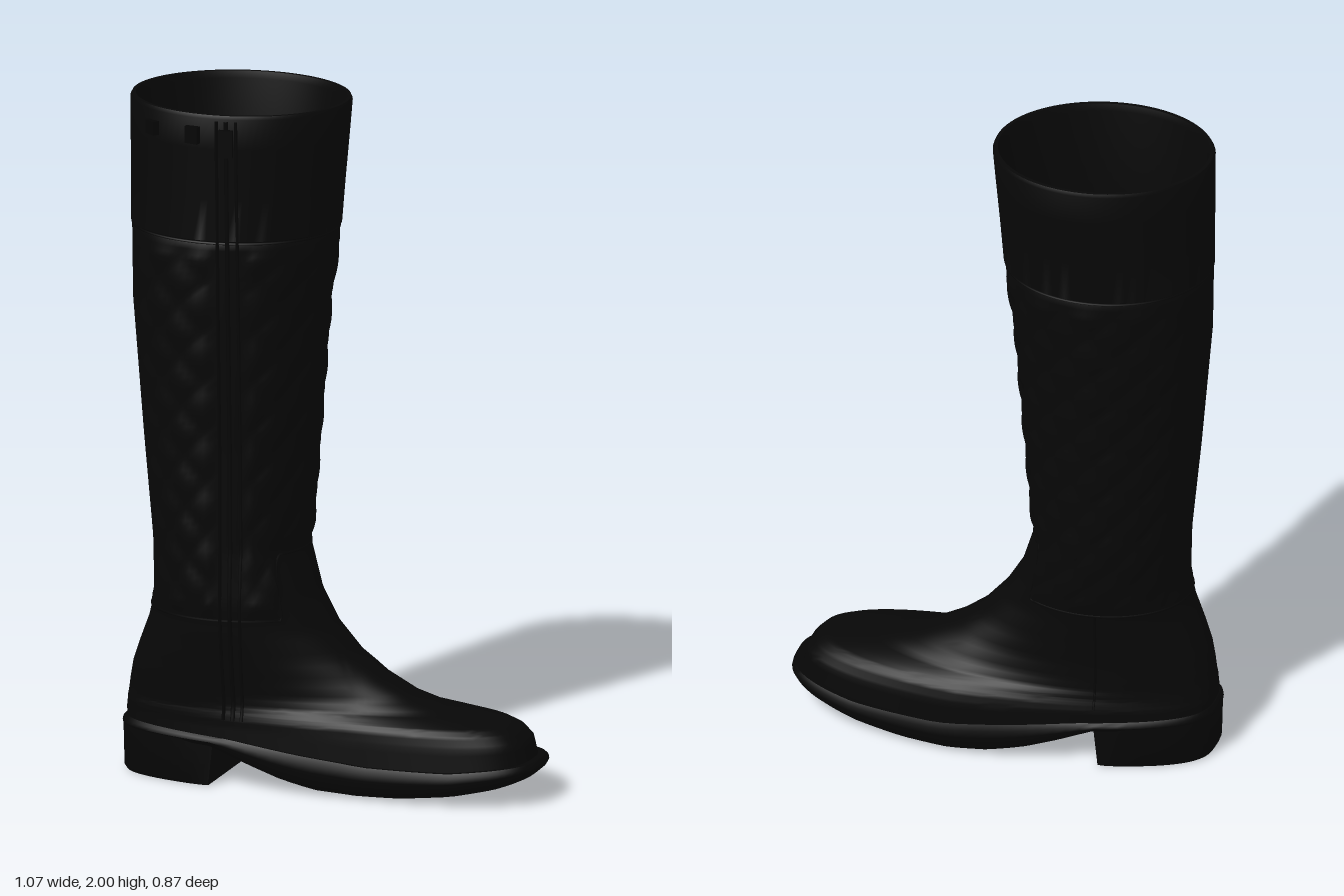
import * as THREE from 'three';
import { toCreasedNormals } from 'three/addons/utils/BufferGeometryUtils.js';

const SEG = 96, ANGLE = THREE.MathUtils.degToRad(40);
const CA = Math.cos(ANGLE), SA = Math.sin(ANGLE);
const { lerp, clamp, smoothstep } = THREE.MathUtils;

// Horizontal slices of the upper: y, back, front, rear half width, front half width, end roundness, sideways shift
const SLICES = [
  [0.10, -0.60, 0.595, 0.185, 0.208, 0.66, 0],
  [0.17, -0.60, 0.58, 0.185, 0.20, 0.66, 0],
  [0.20, -0.598, 0.555, 0.185, 0.19, 0.68, 0.003],
  [0.215, -0.597, 0.525, 0.185, 0.175, 0.7, 0.005],
  [0.225, -0.596, 0.46, 0.185, 0.165, 0.75, 0.005],
  [0.24, -0.594, 0.355, 0.185, 0.15, 0.8, 0.007],
  [0.27, -0.59, 0.255, 0.185, 0.145, 0.85, 0.01],
  [0.32, -0.58, 0.16, 0.185, 0.15, 0.9, 0.016],
  [0.38, -0.56, 0.08, 0.187, 0.16, 0.95, 0.02],
  [0.46, -0.53, 0.012, 0.19, 0.17, 1, 0.024],
  [0.55, -0.51, -0.04, 0.19, 0.185, 1, 0.024],
  [0.70, -0.515, -0.085, 0.198, 0.198, 1, 0.014],
  [1.00, -0.545, -0.065, 0.209, 0.209, 1, 0.006],
  [1.40, -0.578, -0.036, 0.225, 0.225, 1, 0.002],
  [1.63, -0.582, -0.004, 0.23, 0.23, 1, 0],
  [2.00, -0.588, 0.032, 0.238, 0.238, 1, 0],
];
const SOLE = [0, -0.612, 0.624, 0.2, 0.229, 0.66, 0];

// Piecewise interpolation of table rows keyed by their first entry
function sample(rows, k) {
  if (k <= rows[0][0]) return rows[0];
  for (let i = 1; i < rows.length; i++) {
    if (k <= rows[i][0]) {
      const f = (k - rows[i - 1][0]) / (rows[i][0] - rows[i - 1][0]);
      return rows[i].map((v, n) => lerp(rows[i - 1][n], v, f));
    }
  }
  return rows[rows.length - 1];
}
const soleTop = u => sample([[-0.6, 0.16], [-0.25, 0.145], [-0.05, 0.12], [0.15, 0.1], [0.4, 0.1], [0.64, 0.125]], u)[1];
const soleBottom = u => sample([[-0.3, 0.11], [-0.2, 0.07], [-0.1, 0.035], [0, 0.013], [0.12, 0.006], [0.25, 0.01], [0.4, 0.026], [0.52, 0.05], [0.64, 0.085]], u)[1];

const middle = u => 0.01 - 0.1 * (Math.min(u, 0.1) + 0.3);
const world = (u, y, v) => new THREE.Vector3(u * CA - v * SA, y, u * SA + v * CA);

// Plan position on a slice, along the foot (u) and across it (v)
function plan(slice, t, off = 0) {
  const [, u0, u1, wb, wf, p, shift] = slice;
  const half = (u1 - u0) / 2, c = Math.cos(t), s = Math.sin(t);
  const u = (u0 + u1) / 2 + (half + off) * c;
  const w = lerp(wb, wf, (c + 1) / 2) + off;
  return [u, middle(u) + shift + w * Math.sign(s) * Math.abs(s) ** p];
}
function upperPoint(t, y, off = 0) {
  const [u, v] = plan(sample(SLICES, y), t, off);
  const fit = y < 0.2 ? 0.2 - (0.2 - y) * (0.21 - soleTop(u)) / 0.1 : y;
  return world(u, fit, v);
}
const angleAt = (u, y) => {
  const [, u0, u1] = sample(SLICES, y);
  return Math.acos((2 * u - u0 - u1) / (u1 - u0));
};

// Skin a list of closed rings; each ring is a function of the angle
function loft(rings, crease = 0.7) {
  const pos = [], idx = [];
  rings.forEach((ring, i) => {
    for (let j = 0; j < SEG; j++) {
      pos.push(...ring(j / SEG * Math.PI * 2).toArray());
      if (i === rings.length - 1) continue;
      const a = i * SEG + j, b = i * SEG + (j + 1) % SEG;
      idx.push(a, a + SEG, b, b, a + SEG, b + SEG);
    }
  });
  const g = new THREE.BufferGeometry();
  g.setAttribute('position', new THREE.Float32BufferAttribute(pos, 3));
  g.setIndex(idx);
  return toCreasedNormals(g, crease);
}

// Lower edge of the quilted shaft: high over the instep, low around the heel
const hem = t => lerp(0.5, 0.685, smoothstep(Math.cos(t), 0.66, 0.8));

// Shaft layer with padded diamonds, left plain at the back panel and along the zip
function quilt(t, y) {
  const layer = smoothstep(y, hem(t) - 0.005, hem(t) + 0.02);
  const edge = smoothstep(y, hem(t) + 0.01, hem(t) + 0.05) * (1 - smoothstep(y, 1.57, 1.61));
  const back = smoothstep(Math.abs(t - Math.PI), 0.5, 0.65);
  const zip = smoothstep(Math.abs(t - angleAt(-0.235, y)), 0.16, 0.24);
  const k = y * Math.PI / 0.15;
  return 0.004 * layer + 0.009 * edge * back * zip * Math.sqrt(Math.abs(Math.sin(6 * t + k) * Math.sin(6 * t - k)));
}

export function createModel() {
  const boot = new THREE.Group();
  boot.name = 'boot';
  const material = (name, color) => Object.assign(new THREE.MeshStandardMaterial({ color }), { name });
  const leather = material('black leather', 0x070707);
  const rubber = material('black rubber', 0x060606);
  const trim = material('dark trim', 0x050505);
  const add = (name, geometry, mat) => {
    const mesh = new THREE.Mesh(geometry, mat);
    mesh.name = name;
    boot.add(mesh);
    return mesh;
  };

  // Upper: foot, quilted shaft, then over the rim and down the lining
  const rings = [];
  const ring = (y, off) => rings.push(t => upperPoint(t, y, off));
  for (let i = 0; i < 9; i++) {
    for (let k = 0; k < 4; k++) ring(lerp(SLICES[i][0], SLICES[i + 1][0], k / 4), 0);
  }
  for (let y = 0.46; y < 1.615; y += 0.0165) rings.push(t => upperPoint(t, y, quilt(t, y)));
  for (const [y, off] of [[1.622, 0], [1.628, 0.007], [1.75, 0.005], [1.9, 0.004], [1.99, 0.003], [2, -0.002], [2, -0.012], [1.98, -0.018]]) ring(y, off);
  for (const y of [1.63, 1.4, 1, 0.7, 0.55, 0.46, 0.38, 0.32, 0.27, 0.24]) ring(y, -0.022);
  rings.push(() => world(-0.2, 0.24, 0));
  add('upper', loft(rings), leather);

  // Sole with toe spring, raised arch and a protruding welt
  const soleRing = (off, mix) => t => {
    const [u, v] = plan(SOLE, t, off);
    return world(u, lerp(soleBottom(u), soleTop(u), mix), v);
  };
  const soleCap = (mix, f) => t => {
    const [u, v] = plan(SOLE, t, -0.04);
    return world(u, lerp(soleBottom(u), soleTop(u), mix), middle(u) + (v - middle(u)) * f);
  };
  add('sole', loft([soleCap(0, 0), soleCap(0, 1), soleRing(-0.024, 0.08), soleRing(-0.008, 0.3),
    soleRing(0, 0.6), soleRing(-0.002, 0.82), soleRing(-0.01, 1), soleCap(1, 1), soleCap(1, 0)]), rubber);

  // Heel block with a straight front face
  const heelRing = (y, f, off) => t => {
    const [u, v] = plan(SOLE, t, off);
    const cu = Math.min(u, -0.312 + y * 0.1), m = middle(cu);
    return world(-0.43 + (cu + 0.43) * f, y, m + clamp(v - m, -0.17, 0.17) * f);
  };
  add('heel', loft([heelRing(0, 0, 0), heelRing(0, 1, -0.012), heelRing(0.012, 1, -0.005),
    heelRing(0.14, 1, -0.002), heelRing(0.14, 0, 0)], 0.6), rubber);

  // Raised seams
  const seam = (name, points, radius, closed = false) =>
    add(name, new THREE.TubeGeometry(new THREE.CatmullRomCurve3(points, closed), 120, radius, 6, closed), trim);
  const around = (height, off) => Array.from({ length: 72 }, (_, i) => {
    const t = i / 72 * Math.PI * 2;
    return upperPoint(t, height(t), off);
  });
  const along = (u, y0, y1, side, off) => Array.from({ length: 40 }, (_, i) => {
    const y = lerp(y0, y1, i / 39);
    return upperPoint(side * angleAt(u, y), y, off);
  });
  seam('cuffSeam', around(() => 1.62, 0.002), 0.004, true);
  seam('ankleSeam', around(hem, 0), 0.004, true);
  seam('heelSeam', along(-0.3, 0.18, 0.5, -1, 0), 0.004);
  for (const u of [-0.262, -0.208]) seam('zipEdge', along(u, 0.2, 1.985, 1, 0.004), 0.005);
  seam('zip', along(-0.235, 0.2, 1.985, 1, 0.003), 0.007);

  // Short strap loops and zip pull below the rim on the inner side
  for (const [name, u, y, w, h] of [['strapTab', -0.46, 1.94, 0.04, 0.04], ['strapLoop', -0.33, 1.94, 0.04, 0.05], ['zipPull', -0.235, 1.92, 0.04, 0.08]]) {
    const t = angleAt(u, y);
    const tab = add(name, new THREE.BoxGeometry(w, h, 0.02), trim);
    tab.position.copy(upperPoint(t, y, 0.008));
    const out = upperPoint(t, y, 0.2);
    out.y = y;
    tab.lookAt(out);
  }
  return boot;
}
